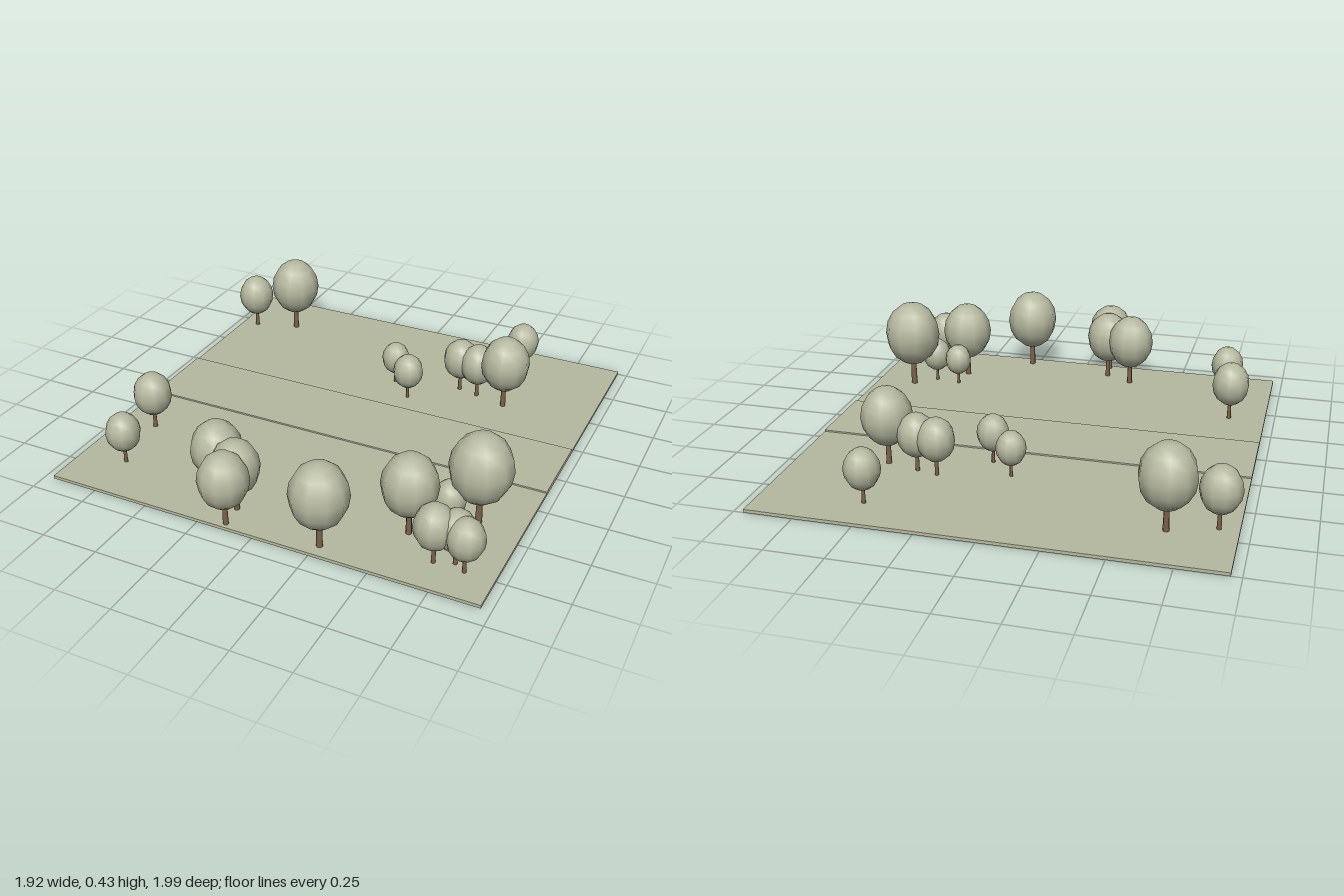
import * as THREE from 'three';

export function createModel() {
  const model = new THREE.Group();
  model.name = 'parkland';

  const material = (name, color) => {
    const m = new THREE.MeshStandardMaterial({ color });
    m.name = name;
    return m;
  };
  const sage = material('sage', 0xb6b9a0);
  const bark = material('bark brown', 0x7d6248);

  // Slab spanning the full width between two depths and two heights
  function slab(name, z0, z1, y0, y1) {
    const mesh = new THREE.Mesh(new THREE.BoxGeometry(1.916, y1 - y0, z1 - z0), sage);
    mesh.position.set(0, (y0 + y1) / 2, (z0 + z1) / 2);
    mesh.name = name;
    model.add(mesh);
  }
  slab('ground', -1, 0.915, 0, 0.014);
  slab('road', -0.222, 0.137, 0.014, 0.021);

  // Unit tree: crown radius 1, standing on y = 0
  const crownGeometry = new THREE.SphereGeometry(1, 10, 8);
  crownGeometry.scale(1, 1.18, 1);
  crownGeometry.translate(0, 1.97, 0);
  const trunkGeometry = new THREE.CylinderGeometry(0.085, 0.115, 1.2, 7);
  trunkGeometry.translate(0, 0.6, 0);

  // Each tree: x, z, crown radius
  const trees = [
    [-0.878, -0.685, 0.086], [-0.683, -0.749, 0.118], [0.519, -0.825, 0.076],
    [0.016, -0.447, 0.065], [0.127, -0.336, 0.07], [0.32, -0.513, 0.082],
    [0.413, -0.492, 0.083], [0.556, -0.455, 0.111], [-0.794, 0.394, 0.086],
    [-0.746, 0.69, 0.076], [-0.265, 0.714, 0.109], [-0.14, 0.783, 0.104],
    [-0.13, 0.888, 0.106], [0.272, 0.855, 0.122], [0.55, 0.63, 0.117],
    [0.772, 0.445, 0.132], [0.558, 0.497, 0.063], [0.675, 0.515, 0.068],
    [0.706, 0.757, 0.085], [0.785, 0.73, 0.079], [0.834, 0.762, 0.078],
  ];
  trees.forEach(([x, z, r], i) => {
    const tree = new THREE.Group();
    tree.name = 'tree' + (i + 1);
    const crown = new THREE.Mesh(crownGeometry, sage);
    crown.name = 'crown';
    const trunk = new THREE.Mesh(trunkGeometry, bark);
    trunk.name = 'trunk';
    tree.add(crown, trunk);
    tree.position.set(x, 0.014, z);
    tree.rotation.y = i * 2.4;
    tree.scale.setScalar(r);
    model.add(tree);
  });

  return model;
}
